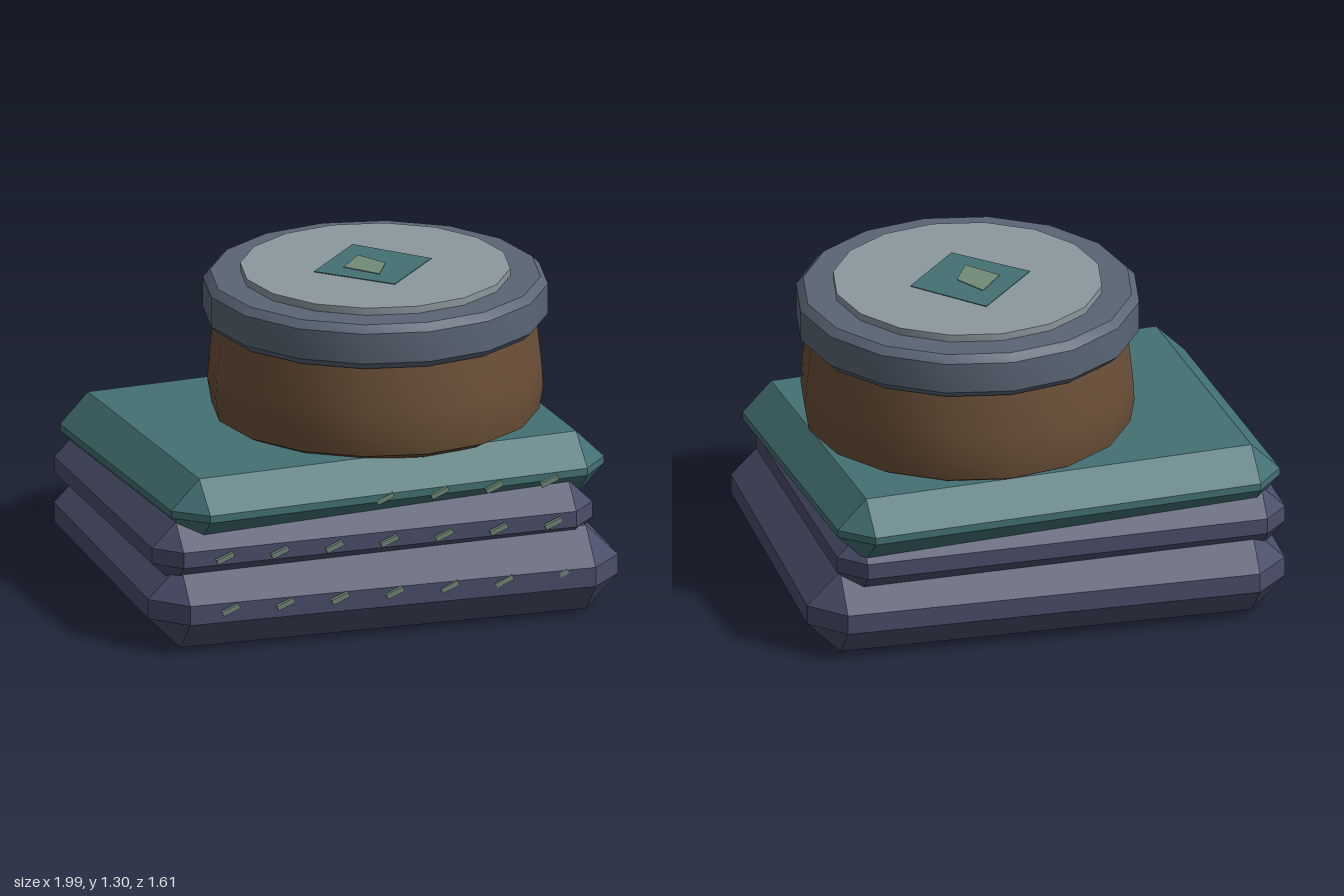
import * as THREE from 'three';
import { toCreasedNormals } from 'three/addons/utils/BufferGeometryUtils.js';
import { ConvexGeometry } from 'three/addons/geometries/ConvexGeometry.js';

function material(name, color) {
  const m = new THREE.MeshStandardMaterial({ color });
  m.name = name;
  return m;
}

// Box with every edge cut at 45 degrees
function chamferedBox(w, h, d, c) {
  const points = [];
  for (const x of [-1, 1]) for (const y of [-1, 1]) for (const z of [-1, 1]) {
    const [X, Y, Z] = [w / 2, h / 2, d / 2];
    points.push(
      new THREE.Vector3(x * X, y * (Y - c), z * (Z - c)),
      new THREE.Vector3(x * (X - c), y * Y, z * (Z - c)),
      new THREE.Vector3(x * (X - c), y * (Y - c), z * Z));
  }
  return new ConvexGeometry(points);
}

// Sixteen-sided turned part, smooth around and sharp at its bevels
function turned(profile) {
  const points = profile.map(([r, y]) => new THREE.Vector2(r, y));
  return toCreasedNormals(new THREE.LatheGeometry(points, 16), 0.6);
}

// Thin plate lying flat, outlined by [x, z] corners
function plate(corners, thickness) {
  const shape = new THREE.Shape(corners.map(([x, z]) => new THREE.Vector2(x, -z)));
  return new THREE.ExtrudeGeometry(shape, { depth: thickness, bevelEnabled: false })
    .rotateX(-Math.PI / 2);
}

export function createModel() {
  const group = new THREE.Group();
  const violet = material('dusky violet cloth', 0x4a4e69);
  const teal = material('teal cloth', 0x437073);
  const brown = material('brown body', 0x6b5038);
  const slate = material('slate lid', 0x5a6575);
  const silver = material('pale grey disc', 0x8b989e);
  const sage = material('sage thread', 0x718a78);

  const add = (name, geometry, mat, x = 0, y = 0, z = 0, parent = group) => {
    const mesh = new THREE.Mesh(geometry, mat);
    mesh.name = name;
    mesh.position.set(x, y, z);
    parent.add(mesh);
    return mesh;
  };

  // Three folded cushions, each turned a little differently
  add('bottomCushion', chamferedBox(1.96, 0.35, 1.554, 0.135), violet, 0, 0.175, 0)
    .rotation.y = -0.0265;
  add('middleCushion', chamferedBox(1.852, 0.265, 1.42, 0.1), violet, -0.047, 0.3875, -0.02)
    .rotation.y = 0.002;
  add('topCushion', chamferedBox(1.86, 0.27, 1.426, 0.12), teal, 0, 0.555, -0.05)
    .rotation.y = 0.06;

  // Slanted stitches along the front edges
  const stitches = new THREE.Group();
  stitches.name = 'stitches';
  group.add(stitches);
  const stitchGeometry = new THREE.BoxGeometry(0.075, 0.02, 0.02);
  for (const [y, z] of [[0.195, 0.785], [0.39, 0.715], [0.55, 0.66]]) {
    for (let i = 0; i < 7; i++) {
      add('stitch', stitchGeometry, sage, -0.705 + i * 0.23, y, z, stitches)
        .rotation.set(0, -0.1, 0.42);
    }
  }

  // Round pot with a bevelled lid
  const pot = new THREE.Group();
  pot.name = 'pot';
  pot.position.set(0.175, 0, -0.03);
  group.add(pot);
  add('potBody', turned([[0, 0.67], [0.6, 0.675], [0.655, 0.705], [0.671, 0.8],
    [0.665, 0.9], [0.645, 1.08], [0, 1.08]]), brown, 0, 0, 0, pot);
  add('lid', turned([[0, 1.075], [0.66, 1.075], [0.69, 1.105], [0.69, 1.23],
    [0.66, 1.26], [0, 1.26]]), slate, 0, 0, 0, pot);
  add('lidDisc', turned([[0, 1.255], [0.54, 1.255], [0.54, 1.29], [0, 1.29]]),
    silver, 0, 0, 0, pot);

  // Nested diamond inlay on the lid
  add('outerDiamond', plate([[0.173, -0.307], [-0.083, -0.03], [0.173, 0.222], [0.414, -0.04]],
    0.004), teal, 0, 1.289, 0);
  add('innerDiamond', plate([[0.147, -0.163], [0.045, -0.04], [0.152, 0.09], [0.22, -0.035]],
    0.004), sage, 0, 1.292, 0);

  return group;
}
